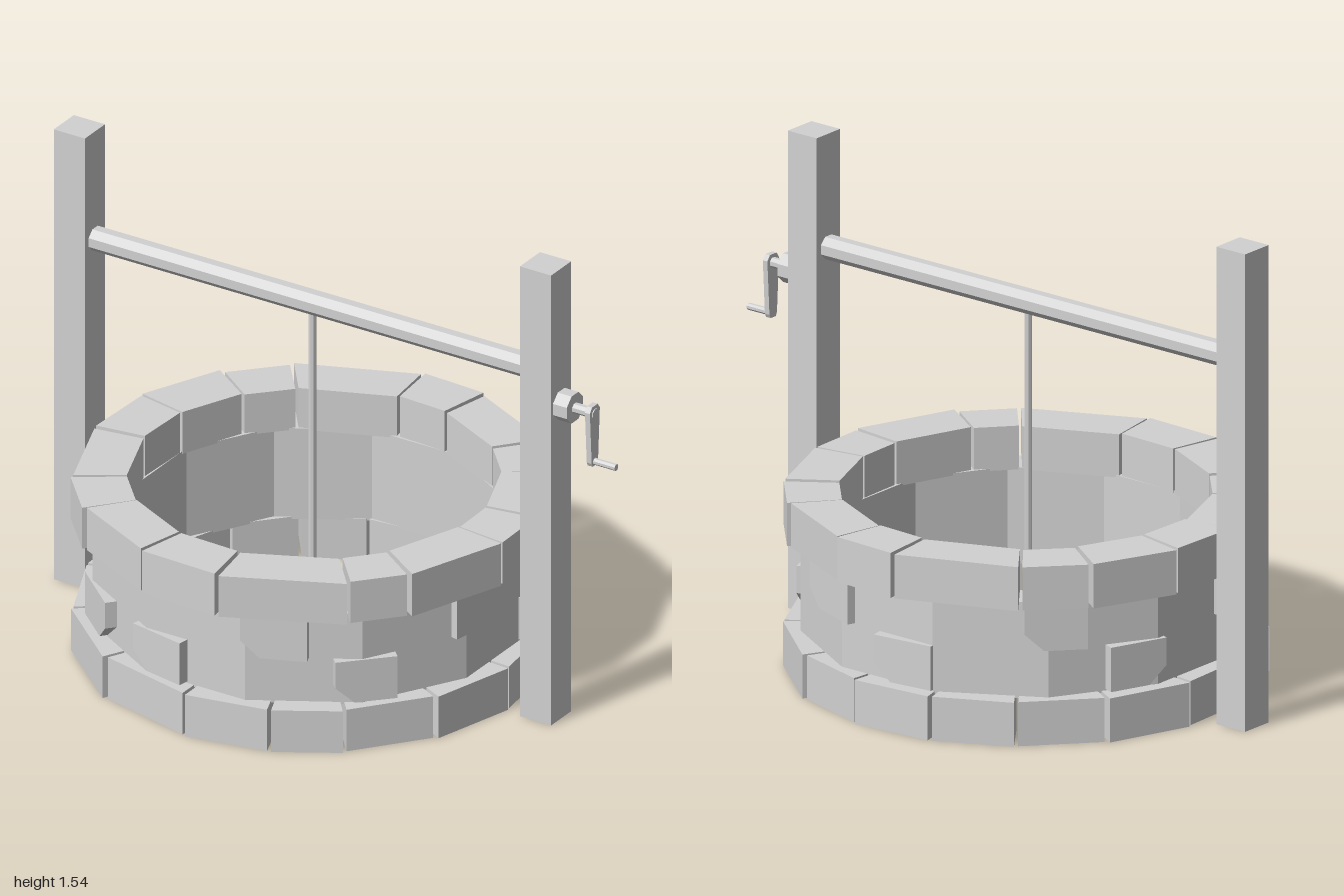
import * as THREE from 'three';

const stone = new THREE.MeshStandardMaterial({ color: 0xd2d2d2, flatShading: true });
stone.name = 'pale grey';

const RAD = Math.PI / 180;
const WELL_X = -0.105;   // well axis
const FRAME_Z = 0.017;   // plane of posts, beam and crank

function add(parent, name, geometry, x = 0, y = 0, z = 0) {
  const mesh = new THREE.Mesh(geometry, stone);
  mesh.name = name;
  mesh.position.set(x, y, z);
  parent.add(mesh);
  return mesh;
}

// Straight-faced block between two angles of a ring
function ringBlock(a, b, inner, outer, height) {
  const corner = (r, t) => new THREE.Vector2(r * Math.cos(t * RAD), -r * Math.sin(t * RAD));
  const shape = new THREE.Shape([corner(inner, a), corner(outer, a), corner(outer, b), corner(inner, b)]);
  return new THREE.ExtrudeGeometry(shape, { depth: height, bevelEnabled: false }).rotateX(-Math.PI / 2);
}

function ring(name, angles, y, height, wobble) {
  const group = new THREE.Group();
  group.name = name;
  angles.forEach((a, i) => {
    const next = i + 1 < angles.length ? angles[i + 1] : angles[0] + 360;
    const outer = 0.736 + 0.006 * Math.sin(i * 2.3);
    const h = height + wobble * Math.sin(i * 1.7);
    add(group, 'ringStone', ringBlock(a + 0.5, next - 0.5, 0.57, outer, h), 0, y, 0);
  });
  return group;
}

// Raised wall stone with one chipped lower corner
function wallStone(a, b, side) {
  const w = 0.7 * Math.sin((b - a) / 2 * RAD), h = 0.143;
  const pts = [[-w, h], [-w, 0.055], [-w + 0.06, 0], [w, 0], [w, h]];
  const shape = new THREE.Shape(pts.map(([x, y]) => new THREE.Vector2(x * side, y)));
  const geo = new THREE.ExtrudeGeometry(shape, { depth: 0.06, bevelEnabled: false });
  geo.translate(0, 0, 0.635);
  return geo.rotateY(Math.PI / 2 - (a + b) / 2 * RAD);
}

// Horizontal bar along x from x0 to x1
function bar(parent, name, x0, x1, y, radius, sides) {
  const geo = new THREE.CylinderGeometry(radius, radius, x1 - x0, sides);
  geo.rotateY(Math.PI / sides).rotateZ(Math.PI / 2);
  return add(parent, name, geo, (x0 + x1) / 2, y, FRAME_Z);
}

export function createModel() {
  const model = new THREE.Group();
  model.name = 'well';

  // Stone shaft
  const shaft = new THREE.Group();
  shaft.name = 'shaft';
  shaft.position.x = WELL_X;
  model.add(shaft);

  const profile = [[0.578, 0.135], [0.69, 0.135], [0.69, 0.445], [0.578, 0.445], [0.578, 0.135]]
    .map(([r, y]) => new THREE.Vector2(r, y));
  add(shaft, 'wall', new THREE.LatheGeometry(profile, 12, Math.PI / 12));

  shaft.add(ring('baseRing',
    [-18, 4, 27, 50, 68, 90, 117, 144, 167, 188, 211, 233, 254, 276, 297, 322.5], 0, 0.142, 0));
  shaft.add(ring('rimRing',
    [-9.5, 6.5, 34, 49, 81, 103, 129, 146, 172, 192, 215, 232, 264, 282, 309.5, 326], 0.438, 0.142, 0.003));

  // Raised stones: start angle, end angle, bottom height, chipped side
  const raised = [
    [36, 52, 0.147, 1], [122, 140, 0.147, -1], [93, 109, 0.147, 1],
    [193, 209, 0.147, -1], [329, 350, 0.147, -1], [255, 272, 0.147, 1],
    [2, 19, 0.294, -1], [59, 76, 0.294, 1], [158, 172, 0.294, -1],
    [215, 231, 0.294, 1], [281, 300, 0.294, 1],
  ];
  for (const [a, b, y, side] of raised) add(shaft, 'wallStone', wallStone(a, b, side), 0, y, 0);

  // Posts
  add(model, 'rightPost', new THREE.BoxGeometry(0.113, 1.54, 0.113), -0.9435, 0.77, FRAME_Z);
  add(model, 'leftPost', new THREE.BoxGeometry(0.113, 1.54, 0.113), 0.7435, 0.77, FRAME_Z);

  // Beam and rope
  bar(model, 'beam', -0.89, 0.69, 1.175, 0.039, 8);
  add(model, 'rope', new THREE.CylinderGeometry(0.012, 0.012, 1.13, 8), -0.1, 0.595, FRAME_Z);

  // Crank
  const crank = new THREE.Group();
  crank.name = 'crank';
  model.add(crank);
  bar(crank, 'hub', 0.795, 0.85, 1.077, 0.05, 8);
  bar(crank, 'axle', 0.85, 0.925, 1.077, 0.017, 8);
  bar(crank, 'handle', 0.905, 1.0, 0.914, 0.011, 8);
  const armShape = new THREE.Shape([
    [-0.012, -0.177], [0.012, -0.177], [0.018, -0.165], [0.028, 0.01], [0.016, 0.027],
    [-0.016, 0.027], [-0.028, 0.01], [-0.018, -0.165],
  ].map(([x, y]) => new THREE.Vector2(x, y)));
  const arm = new THREE.ExtrudeGeometry(armShape, { depth: 0.018, bevelEnabled: false });
  add(crank, 'arm', arm.rotateY(Math.PI / 2), 0.904, 1.077, FRAME_Z);

  return model;
}
